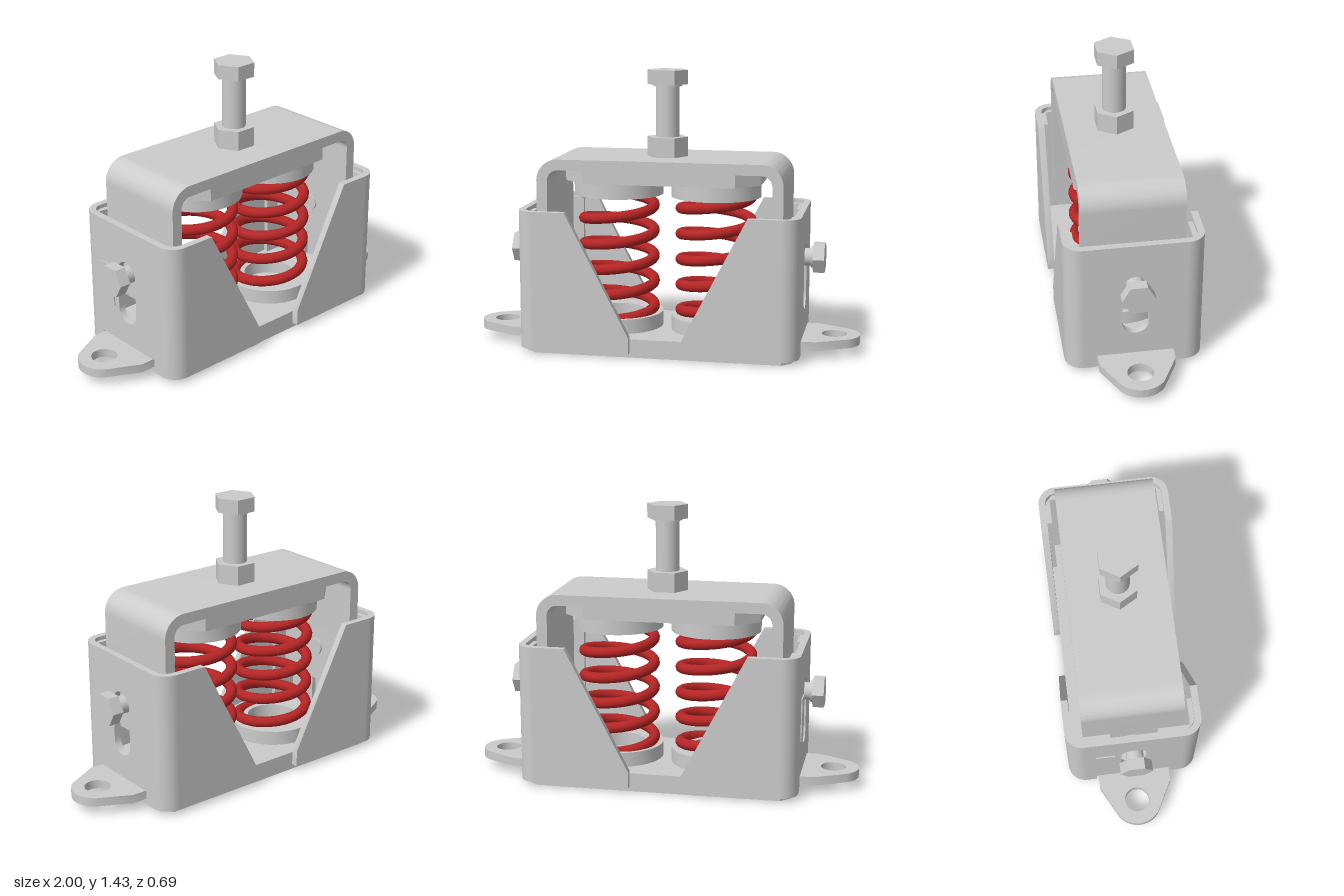
import * as THREE from 'three';
import { toCreasedNormals } from 'three/addons/utils/BufferGeometryUtils.js';

const steel = new THREE.MeshStandardMaterial({ color: 0xcccccc });
const red = new THREE.MeshStandardMaterial({ color: 0xb52525 });

function add(parent, name, geometry, material = steel) {
  const mesh = new THREE.Mesh(geometry, material);
  mesh.name = name;
  parent.add(mesh);
  return mesh;
}

const polygon = (points) => new THREE.Shape(points.map(([x, y]) => new THREE.Vector2(x, y)));

const extrude = (shape, depth) => toCreasedNormals(
  new THREE.ExtrudeGeometry(shape, { depth, bevelEnabled: false, curveSegments: 16 }), 0.6);

// Plan outline (x, -z) raised from y0 to y1
const raise = (shape, y0, y1) => extrude(shape, y1 - y0).rotateX(-Math.PI / 2).translate(0, y0, 0);

// Rectangle in plan with 45 degree corners
function chamfered(a, b, cx, cz) {
  return polygon([[-a + cx, -b], [a - cx, -b], [a, -b + cz], [a, b - cz],
    [a - cx, b], [-a + cx, b], [-a, b - cz], [-a, -b + cz]]);
}

// Upright hexagonal prism with corners pointing along x
function hex(r, y0, y1) {
  return toCreasedNormals(new THREE.CylinderGeometry(r, r, y1 - y0, 6)
    .rotateY(Math.PI / 6), 0.5).translate(0, (y0 + y1) / 2, 0).rotateY(0);
}

const rod = (r, y0, y1) => new THREE.CylinderGeometry(r, r, y1 - y0, 32).translate(0, (y0 + y1) / 2, 0);

// Turn an upright part so it points along +x
const sideways = (geometry) => geometry.rotateZ(-Math.PI / 2).translate(0, 0.49, 0);

class Helix extends THREE.Curve {
  getPoint(t, target = new THREE.Vector3()) {
    const a = t * 5.1 * Math.PI * 2 + 0.8;
    return target.set(0.182 * Math.cos(a), 0.14 + 0.68 * t, -0.182 * Math.sin(a));
  }
}

// Ring-shaped spring seat
function seat(y0, y1) {
  const points = [[0.13, y0], [0.23, y0], [0.23, y1], [0.13, y1], [0.13, y0]]
    .map(([x, y]) => new THREE.Vector2(x, y));
  return toCreasedNormals(new THREE.LatheGeometry(points, 48), 0.6);
}

// Everything that occurs once at each end, built for the +x end
function createEnd() {
  const end = new THREE.Group();

  // Housing: front and back cheeks with the slanted cut
  const cheek = extrude(polygon([[0.135, 0.025], [0.625, 0.025], [0.625, 0.735],
    [0.46, 0.735], [0.135, 0.11]]), 0.035);
  add(end, 'housingFrontCheek', cheek).position.z = 0.31;
  add(end, 'housingBackCheek', cheek).position.z = -0.345;

  // Housing: end wall with a notch for the foot and a slot for the bolt
  const wall = polygon([[-0.255, 0.025], [-0.2, 0.025], [-0.2, 0.095], [0.2, 0.095],
    [0.2, 0.025], [0.255, 0.025], [0.255, 0.735], [-0.255, 0.735]]);
  const slot = new THREE.Path();
  slot.absarc(0, 0.49, 0.067, 0, Math.PI);
  slot.absarc(0, 0.285, 0.067, Math.PI, Math.PI * 2);
  slot.closePath();
  wall.holes.push(slot);
  add(end, 'housingEndWall', extrude(wall, 0.035).rotateY(Math.PI / 2).translate(0.68, 0, 0));

  for (const s of [-1, 1]) {
    // Housing: rounded corner
    const corner = new THREE.Shape();
    const a0 = s > 0 ? 0 : -Math.PI / 2;
    corner.absarc(0.625, s * 0.255, 0.09, a0, a0 + Math.PI / 2, false);
    corner.absarc(0.625, s * 0.255, 0.055, a0 + Math.PI / 2, a0, true);
    add(end, 'housingCorner', raise(corner, 0.025, 0.735));

    // Thin corner liner inside the housing
    const liner = polygon([[0.52, 0.31], [0.52, 0.285], [0.655, 0.285], [0.655, 0.12],
      [0.68, 0.12], [0.68, 0.27], [0.64, 0.31]].map(([x, z]) => [x, s * z]));
    add(end, 'cornerLiner', raise(liner, 0.095, 0.715));
  }

  // Mounting foot with bolt hole
  const foot = new THREE.Shape();
  foot.moveTo(0.6, -0.19);
  foot.lineTo(0.785, -0.19);
  foot.absarc(0.87, 0, 0.13, -0.95, 0.95);
  foot.lineTo(0.785, 0.19);
  foot.lineTo(0.6, 0.19);
  const hole = new THREE.Path();
  hole.absarc(0.87, 0, 0.065, 0, Math.PI * 2);
  foot.holes.push(hole);
  add(end, 'mountingFoot', raise(foot, 0.05, 0.095));

  // Side bolt
  add(end, 'sideBoltHead', sideways(hex(0.083, 0.757, 0.815).rotateY(Math.PI / 2)));
  add(end, 'sideBoltCollar', sideways(rod(0.055, 0.745, 0.757)));
  add(end, 'sideBoltShank', sideways(rod(0.045, 0.56, 0.75)));

  // Spring between two seats
  const springUnit = new THREE.Group();
  springUnit.name = 'springUnit';
  springUnit.position.x = 0.255;
  add(springUnit, 'lowerSeat', seat(0.09, 0.17));
  add(springUnit, 'upperSeat', seat(0.79, 0.875));
  add(springUnit, 'spring', new THREE.TubeGeometry(new Helix(), 300, 0.028, 12), red);
  end.add(springUnit);
  return end;
}

export function createModel() {
  const model = new THREE.Group();

  // Base plate
  add(model, 'basePlate', raise(chamfered(0.68, 0.31, 0.05, 0.05), 0, 0.095));

  // Two matching ends, the second turned half a turn
  const left = createEnd();
  left.name = 'leftEnd';
  const right = createEnd();
  right.name = 'rightEnd';
  right.rotation.y = Math.PI;
  model.add(left, right);

  // Blank rating plate beside the right slot
  add(model, 'ratingPlate', new THREE.BoxGeometry(0.008, 0.22, 0.1)).position.set(-0.717, 0.39, -0.15);

  // Inverted U saddle with rounded shoulders
  const saddle = new THREE.Shape();
  saddle.moveTo(0.57, 0.3);
  saddle.lineTo(0.625, 0.3);
  saddle.absarc(0.515, 0.88, 0.11, 0, Math.PI / 2);
  saddle.absarc(-0.515, 0.88, 0.11, Math.PI / 2, Math.PI);
  saddle.lineTo(-0.625, 0.3);
  saddle.lineTo(-0.57, 0.3);
  saddle.absarc(-0.515, 0.88, 0.055, Math.PI, Math.PI / 2, true);
  saddle.absarc(0.515, 0.88, 0.055, Math.PI / 2, 0, true);
  add(model, 'saddle', extrude(saddle, 0.51).translate(0, 0, -0.255));

  // Pressure plate under the saddle
  add(model, 'pressurePlate', raise(chamfered(0.5, 0.255, 0.115, 0.115), 0.87, 0.936));

  // Adjusting bolt
  add(model, 'adjustingNut', hex(0.105, 0.99, 1.09));
  add(model, 'adjustingShank', rod(0.06, 0.98, 1.36));
  add(model, 'adjustingCollar', rod(0.075, 1.348, 1.36));
  add(model, 'adjustingHead', hex(0.105, 1.357, 1.43));
  return model;
}
